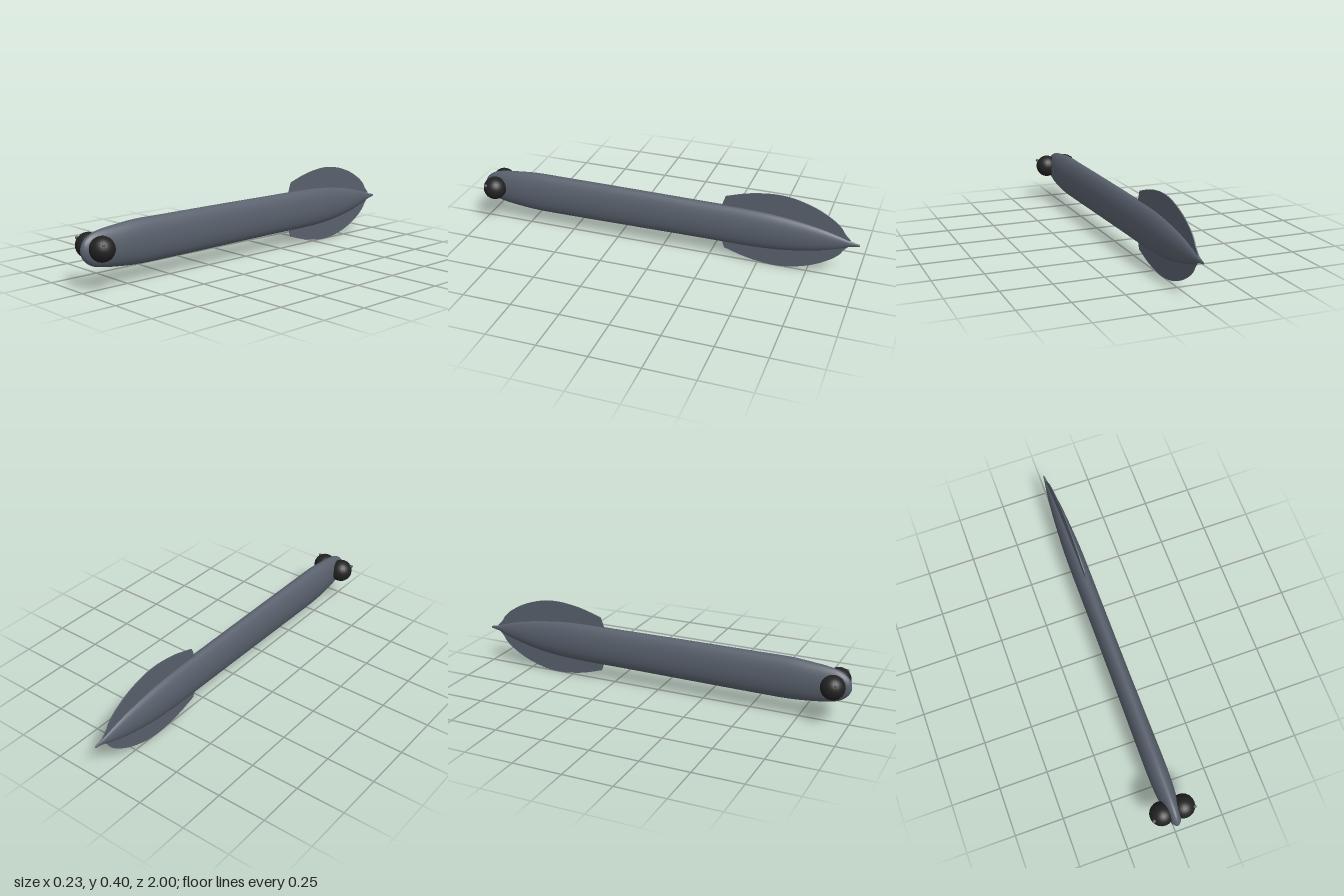
import * as THREE from 'three';

const slate = new THREE.MeshStandardMaterial({ color: 0x59616d });
slate.name = 'slate grey';
const black = new THREE.MeshStandardMaterial({ color: 0x222222 });
black.name = 'eye black';

const MID = 0.19;

// Body stations: z, top y, bottom y, half width
const STATIONS = [
  [1.0, 0.207, 0.173, 0.008], [0.985, 0.236, 0.146, 0.021], [0.95, 0.262, 0.118, 0.031],
  [0.9, 0.277, 0.103, 0.039], [0.8, 0.289, 0.09, 0.048], [0.7, 0.297, 0.082, 0.05],
  [0.55, 0.297, 0.081, 0.049], [0.2, 0.296, 0.083, 0.046], [-0.2, 0.293, 0.086, 0.045],
  [-0.5, 0.29, 0.088, 0.044], [-0.65, 0.276, 0.1, 0.038], [-0.8, 0.251, 0.127, 0.028],
  [-0.9, 0.224, 0.157, 0.017], [-0.96, 0.204, 0.178, 0.008], [-1.0, 0.195, 0.185, 0.003],
];

// Smooth loft of elliptical cross-sections from nose to tail
function loftBody(sides = 32, steps = 3) {
  const rows = [];
  const heights = new THREE.CatmullRomCurve3(STATIONS.map(([z, t, b]) => new THREE.Vector3(t, b, z)));
  const widths = new THREE.CatmullRomCurve3(STATIONS.map(([z, , , w]) => new THREE.Vector3(w, 0, z)));
  const n = (STATIONS.length - 1) * steps;
  for (let i = 0; i <= n; i++) {
    const h = heights.getPoint(i / n);
    rows.push([h.z, h.x, h.y, widths.getPoint(i / n).x]);
  }
  const pos = [], index = [];
  rows.forEach(([z, top, bottom, w]) => {
    for (let j = 0; j < sides; j++) {
      const a = (j / sides) * Math.PI * 2;
      pos.push(w * Math.cos(a), (top + bottom) / 2 + ((top - bottom) / 2) * Math.sin(a), z);
    }
  });
  for (let i = 0; i < n; i++) {
    for (let j = 0; j < sides; j++) {
      const k = (j + 1) % sides;
      const a = i * sides + j, b = i * sides + k;
      index.push(a, a + sides, b, b, a + sides, b + sides);
    }
  }
  // End caps
  const nose = pos.length / 3, tail = nose + 1;
  pos.push(0, MID, 1, 0, MID, -1);
  for (let j = 0; j < sides; j++) {
    const k = (j + 1) % sides;
    index.push(nose, j, k, tail, n * sides + k, n * sides + j);
  }
  const geo = new THREE.BufferGeometry();
  geo.setAttribute('position', new THREE.Float32BufferAttribute(pos, 3));
  geo.setIndex(index);
  geo.computeVertexNormals();
  return geo;
}

// Thin fin drawn in (z, y); side is 1 for the back, -1 for the belly
function makeFin(side) {
  const centre = 0.197;
  const p = (z, h) => new THREE.Vector2(z, centre + side * h);
  const shape = new THREE.Shape();
  shape.moveTo(-0.31, centre + side * 0.08);
  shape.lineTo(-0.31, centre + side * 0.1);
  shape.lineTo(-0.326, centre + side * 0.146);
  shape.splineThru([
    p(-0.42, 0.175), p(-0.5, 0.191), p(-0.59, 0.198), p(-0.68, 0.188),
    p(-0.78, 0.156), p(-0.86, 0.112), p(-0.905, 0.074), p(-0.925, 0.044), p(-0.955, 0.012),
  ]);
  shape.lineTo(-0.85, centre + side * 0.02);
  const geo = new THREE.ExtrudeGeometry(shape, { depth: 0.005, bevelEnabled: false, curveSegments: 28 });
  geo.translate(0, 0, -0.0025);
  geo.rotateY(-Math.PI / 2);
  return geo;
}

export function createModel() {
  const model = new THREE.Group();
  model.name = 'slenderFish';
  const add = (name, geo, mat, x = 0, y = 0, z = 0) => {
    const mesh = new THREE.Mesh(geo, mat);
    mesh.name = name;
    mesh.position.set(x, y, z);
    model.add(mesh);
  };

  add('body', loftBody(), slate);
  add('dorsalFin', makeFin(1), slate);
  add('analFin', makeFin(-1), slate);

  // Bulging eyes, each with a small bead
  const eye = new THREE.SphereGeometry(0.06, 20, 14);
  const bead = new THREE.SphereGeometry(0.0085, 10, 8);
  for (const [side, s] of [['left', 1], ['right', -1]]) {
    add(side + 'Eye', eye, black, s * 0.054, 0.2, 0.923);
    add(side + 'EyeBead', bead, slate, s * 0.104, 0.231, 0.95);
  }
  return model;
}
